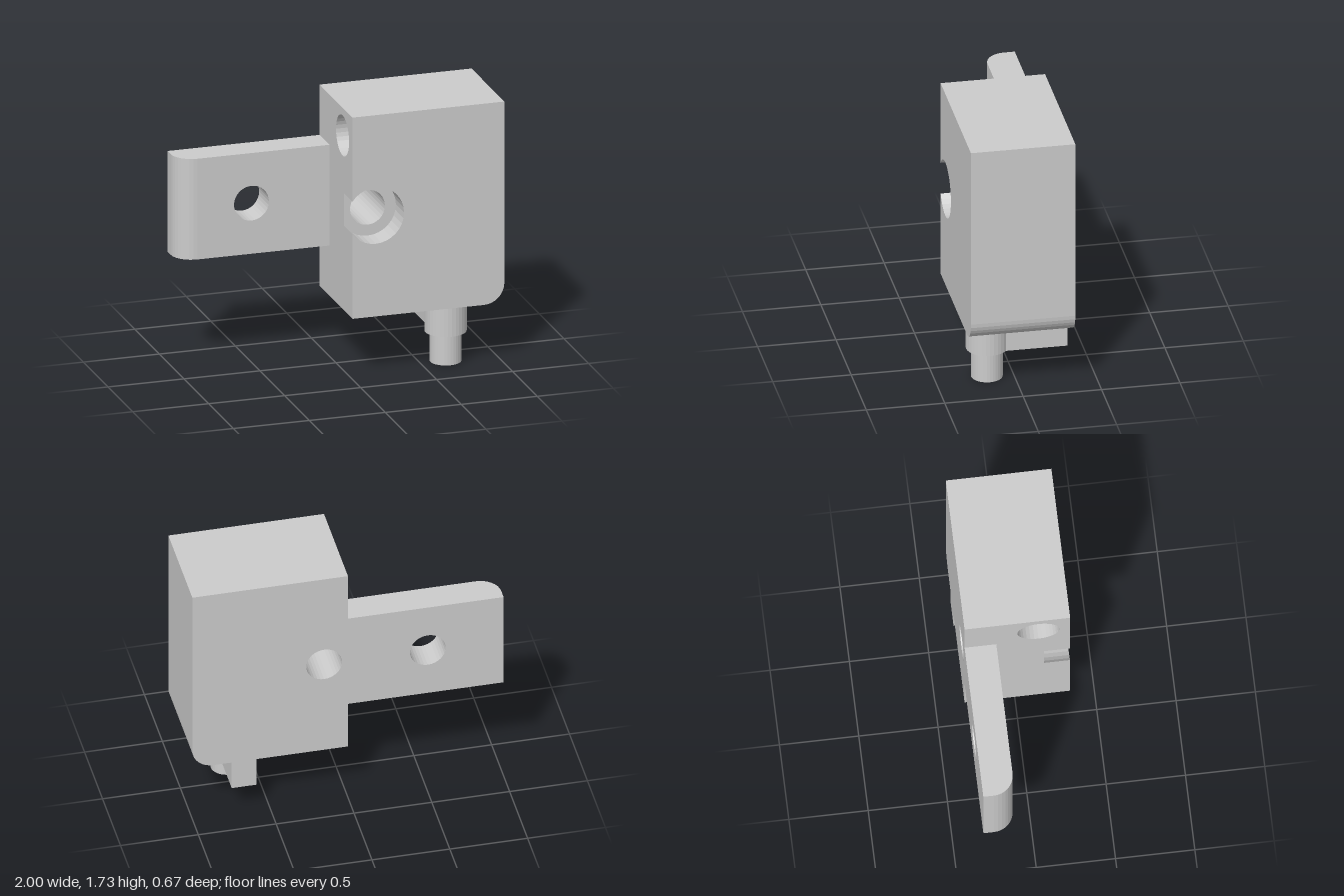
import * as THREE from 'three';
import { mergeGeometries } from 'three/addons/utils/BufferGeometryUtils.js';

const X = new THREE.Vector3(1, 0, 0), Y = new THREE.Vector3(0, 1, 0), Z = new THREE.Vector3(0, 0, 1);
const basis = (a, b, c) => new THREE.Matrix4().makeBasis(a, b, c);
// Drawing planes: (u, v) in the plane, w along its outward normal
const FRONT = basis(X, Y, Z);
const SIDE = basis(Z, Y, X.clone().negate());   // w = -x
const BELOW = basis(X, Z, Y.clone().negate());  // w = -y

const arc = (cx, cy, r, a0, a1, n) => Array.from({ length: n + 1 }, (_, i) => {
  const a = a0 + (a1 - a0) * i / n;
  return [cx + r * Math.cos(a), cy + r * Math.sin(a)];
});
const circle = (cx, cy, r) => arc(cx, cy, r, 0, 2 * Math.PI, 32);
const vec = (pts) => pts.map(([u, v]) => new THREE.Vector2(u, v));

// Flat face with holes at height w, facing +w (or -w when flipped)
function panel(plane, w, outline, holes = [], flip = false) {
  const shape = new THREE.Shape(vec(outline));
  shape.holes = holes.map((h) => new THREE.Path(vec(h)));
  const g = new THREE.ShapeGeometry(shape);
  if (flip) g.index.array.reverse();
  return g.translate(0, 0, w).applyMatrix4(plane).toNonIndexed();
}

// Wall swept from w0 to w1 along a path; counter-clockwise paths face outward
function wall(plane, path, w0, w1) {
  const pos = [];
  for (let i = 0; i < path.length - 1; i++) {
    const p = path[i], q = path[i + 1];
    pos.push(...p, w0, ...q, w0, ...q, w1, ...p, w0, ...q, w1, ...p, w1);
  }
  const g = new THREE.BufferGeometry();
  g.setAttribute('position', new THREE.Float32BufferAttribute(pos, 3));
  return g.applyMatrix4(plane);
}
const bore = (plane, c, w0, w1) => wall(plane, [...c].reverse(), w0, w1);

function part(name, geometries) {
  geometries.forEach((g) => { g.deleteAttribute('uv'); g.deleteAttribute('normal'); });
  const g = mergeGeometries(geometries);
  g.computeVertexNormals();
  const mesh = new THREE.Mesh(g, new THREE.MeshStandardMaterial({ color: 0xcccccc, flatShading: true }));
  mesh.name = name;
  return mesh;
}

const D = 0.333, BOTTOM = 0.4, TOP = 1.733, R = 0.133, HOLE_Y = 1.068, HOLE_R = 0.115;
const FIT_X = 0.667, FIT_Z = 0.167, BORE_R = 0.06;
const channel = circle(FIT_X, FIT_Z, BORE_R);

function makeBody() {
  const hx = 0.153, cr = 0.187, step = 0.167;
  const a = Math.acos(-hx / cr), half = cr * Math.sin(a);
  const notch = arc(hx, HOLE_Y, cr, a, -a, 26);
  const hole = circle(hx, HOLE_Y, HOLE_R);
  const port = circle(0.133, 1.55, R);
  const rim = [...arc(1 - R, BOTTOM + R, R, -Math.PI / 2, 0, 8), [1, TOP], [0, TOP]];
  const side = [[-D, BOTTOM], [D, BOTTOM], [D, HOLE_Y - half], [step, HOLE_Y - half],
    [step, HOLE_Y + half], [D, HOLE_Y + half], [D, TOP], [-D, TOP]];
  return part('body', [
    panel(FRONT, D, [[0, BOTTOM], ...rim, ...notch]),
    panel(FRONT, -D, [[0, BOTTOM], ...rim], [hole], true),
    wall(FRONT, rim, -D, D),
    panel(BELOW, -BOTTOM, [[0, -D], [1 - R, -D], [1 - R, D], [0, D]], [channel]),
    // counterbored screw hole, breaking out through the side
    wall(FRONT, notch, step, D),
    panel(FRONT, step, notch, [hole]),
    bore(FRONT, hole, -D, step),
    // blind side port
    panel(SIDE, 0, side, [port]),
    bore(SIDE, port, -0.8, 0),
    panel(SIDE, -0.8, port),
  ]);
}

function makeArm() {
  const lo = 0.733, hi = 1.4, face = -0.133;
  const hole = circle(-0.513, HOLE_Y, HOLE_R);
  const nose = [...arc(R - 1, face - R, R, Math.PI / 2, Math.PI, 8), [-1, -D]];
  const profile = [[0, -D], [0, face], ...nose];
  const rect = (x) => [[x, lo], [0, lo], [0, hi], [x, hi]];
  return part('mountingArm', [
    panel(FRONT, face, rect(R - 1), [hole]),
    panel(FRONT, -D, rect(-1), [hole], true),
    bore(FRONT, hole, -D, face),
    wall(BELOW, nose, -hi, -lo),
    panel(BELOW, -lo, profile),
    panel(BELOW, -hi, profile, [], true),
  ]);
}

function makeFitting() {
  const w = 0.08, a = Math.acos(w / R);
  const peg = circle(FIT_X, FIT_Z, 0.1);
  // round collar joined to a rib that runs to the back
  const collar = [[FIT_X - w, -D], [FIT_X + w, -D], ...arc(FIT_X, FIT_Z, R, -a, Math.PI + a, 26)];
  return part('hollowPegFitting', [
    wall(BELOW, [...collar, collar[0]], -BOTTOM, -0.2),
    panel(BELOW, -0.2, collar, [peg]),
    wall(BELOW, peg, -0.2, 0),
    panel(BELOW, 0, peg, [channel]),
    bore(BELOW, channel, -1.4, 0),
    panel(BELOW, -1.4, channel),
  ]);
}

export function createModel() {
  const model = new THREE.Group();
  model.name = 'mountingBlock';
  model.add(makeBody(), makeArm(), makeFitting());
  return model;
}
